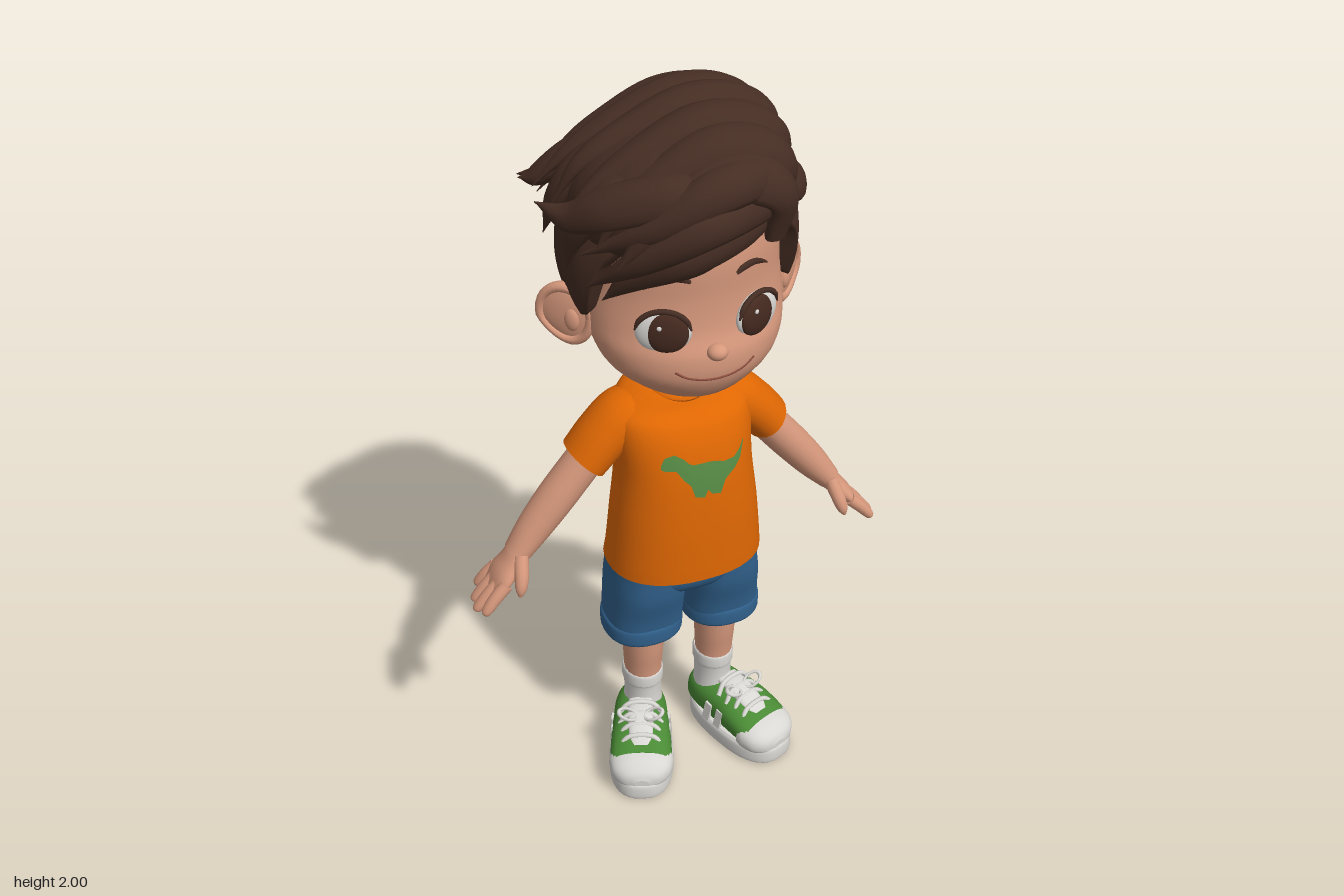
import * as THREE from 'three';

const mat = (name, color) => { const m = new THREE.MeshStandardMaterial({ color }); m.name = name; return m; };
const V = (x, y, z) => new THREE.Vector3(x, y, z);

export function createModel() {
  const skin = mat('skin', 0xd6987c), hairM = mat('hair brown', 0x452d23), orange = mat('shirt orange', 0xdf6703);
  const denim = mat('denim blue', 0x31618c), green = mat('shoe green', 0x4a8a35), white = mat('off white', 0xd9d7d3);
  const print = mat('print green', 0x568a45), iris = mat('iris brown', 0x452a20), lip = mat('lip brown', 0x8f5040);
  const model = new THREE.Group();
  model.name = 'boy';

  const add = (name, geo, material, parent = model) => {
    const mesh = new THREE.Mesh(geo, material);
    mesh.name = name;
    parent.add(mesh);
    return mesh;
  };
  const build = (pos, idx) => {
    const g = new THREE.BufferGeometry();
    g.setAttribute('position', new THREE.Float32BufferAttribute(pos, 3));
    g.setIndex(idx);
    g.computeVertexNormals();
    return g;
  };
  // Moves every vertex by a rule
  const bend = (g, rule) => {
    const p = g.attributes.position;
    for (let i = 0; i < p.count; i++) p.setXYZ(i, ...rule(p.getX(i), p.getY(i), p.getZ(i)));
    g.computeVertexNormals();
    return g;
  };

  // Smooth closed sweep through [x, y, z, halfWidth, halfDepth]; depth lies along ref, axis fixes the ring plane
  function sweep(pts, { ref = V(0, 0, 1), axis = null, sides = 20, steps = 5, exp = 2 } = {}) {
    const path = new THREE.CatmullRomCurve3(pts.map(p => V(p[0], p[1], p[2])), false, 'catmullrom');
    const size = new THREE.CatmullRomCurve3(pts.map(p => V(p[3], p[4], 0)), false, 'catmullrom');
    const n = (pts.length - 1) * steps, pos = [], idx = [];
    const pw = v => Math.sign(v) * Math.abs(v) ** (2 / exp);
    for (let i = 0; i <= n; i++) {
      const c = path.getPoint(i / n), r = size.getPoint(i / n);
      const T = axis ? axis.clone() : path.getTangent(i / n);
      const N = (typeof ref === 'function' ? ref(c) : ref.clone());
      N.addScaledVector(T, -N.dot(T)).normalize();
      const B = T.clone().cross(N);
      for (let j = 0; j < sides; j++) {
        const t = j / sides * Math.PI * 2;
        const p = c.clone().addScaledVector(B, Math.max(r.x, 0.001) * pw(Math.cos(t)))
          .addScaledVector(N, Math.max(r.y, 0.001) * pw(Math.sin(t)));
        pos.push(p.x, p.y, p.z);
        if (i < n) {
          const a = i * sides + j, b = i * sides + (j + 1) % sides;
          idx.push(a, a + sides, b, b, a + sides, b + sides);
        }
      }
    }
    for (const end of [0, n]) {
      const base = pos.length / 3, c = path.getPoint(end / n);
      pos.push(...pos.slice(end * sides * 3, (end + 1) * sides * 3), c.x, c.y, c.z);
      for (let j = 0; j < sides; j++) {
        const a = base + j, b = base + (j + 1) % sides;
        idx.push(...(end ? [base + sides, b, a] : [base + sides, a, b]));
      }
    }
    return build(pos, idx);
  }
  const UP = V(0, 1, 0);
  // Horizontal sections given as [y, halfWidth, zFront, zBack]
  const loft = (rows, opt = {}) => sweep(rows.map(([y, rx, f, b]) => [0, y, (f + b) / 2, rx, (f - b) / 2]),
    { axis: UP, sides: 40, steps: 6, ...opt });
  const flip = (s, pts) => pts.map(([x, ...rest]) => [x * s, ...rest]);
  const ball = (name, p, r, material, parent) => {
    const m = add(name, new THREE.SphereGeometry(1, 28, 20), material, parent);
    m.position.set(...p); m.scale.set(...r);
    return m;
  };
  // Depth of a surface at x, y seen from the front (dir 1) or back (dir -1)
  const surfaceZ = (meshes, x, y, dir = 1) => {
    const hit = new THREE.Raycaster(V(x, y, dir * 3), V(0, 0, -dir)).intersectObjects(meshes)[0];
    return hit ? hit.point.z : 0;
  };
  // Thin patch on a surface from columns [x, top, bottom]
  function patch(cols, meshes, dir, lift) {
    const pos = [], idx = [], R = 5;
    cols.forEach(([x, top, bottom], c) => {
      for (let r = 0; r <= R; r++) {
        const y = top + (bottom - top) * r / R;
        pos.push(x, y, surfaceZ(meshes, x, y, dir) + dir * lift);
        if (c < cols.length - 1 && r < R) {
          const a = c * (R + 1) + r, b = a + R + 1;
          idx.push(...(dir > 0 ? [a, a + 1, b, b, a + 1, b + 1] : [a, b, a + 1, b, b + 1, a + 1]));
        }
      }
    });
    return build(pos, idx);
  }

  // Head and neck
  const head = add('head', loft([[1.245, .05, .11, -.02], [1.26, .105, .162, -.06], [1.29, .16, .195, -.1],
    [1.34, .212, .22, -.13], [1.4, .24, .222, -.17], [1.46, .248, .203, -.2], [1.54, .248, .196, -.24],
    [1.64, .243, .198, -.25], [1.74, .225, .175, -.24], [1.84, .16, .11, -.18], [1.9, .04, .0, -.06]]), skin);
  add('neck', loft([[1.14, .085, .035, -.11], [1.2, .074, .035, -.1], [1.32, .075, .035, -.1]]), skin);
  ball('nose', [0, 1.415, .219], [.026, .021, .025], skin);
  const onFace = (x, y, lift, ...r) => [x, y, surfaceZ([head], x, y) + lift, ...r];
  add('mouth', sweep([[-.1, 1.372], [-.075, 1.356], [-.04, 1.346], [0, 1.343], [.04, 1.346], [.075, 1.356], [.1, 1.372]]
    .map(([x, y]) => onFace(x, y, -.001, .0035, .0035)), { sides: 8 }), lip);

  for (const s of [1, -1]) {
    // Eyes, lashes and brows
    const eye = new THREE.Group();
    eye.name = s > 0 ? 'leftEye' : 'rightEye';
    eye.position.set(s * .118, 1.472, .174);
    eye.rotation.y = s * .42;
    model.add(eye);
    ball('eyeWhite', [0, 0, 0], [.067, .058, .022], white, eye);
    ball('iris', [-s * .008, 0, .008], [.053, .053, .018], iris, eye);
    ball('glint', [-s * .008 - .016, .02, .0235], [.006, .006, .003], white, eye);
    const lash = [0, 1, 2, 3, 4, 5, 6].map(i => {
      const a = Math.PI * (.04 + .92 * i / 6), e = i % 6 ? .007 : .002;
      return [.067 * Math.cos(a), .057 * Math.sin(a), .008, e, e];
    });
    add('lashes', sweep(lash, { sides: 8 }), hairM, eye);
    add('brow', sweep(flip(s, [[.058, 1.598, .004], [.075, 1.608, .009], [.105, 1.611, .009], [.13, 1.602, .006], [.15, 1.59, .002]]
      .map(([x, y, w]) => onFace(x, y, .001, w, .005))), { sides: 10 }), hairM);

    // Ears
    const ear = new THREE.Group();
    ear.name = s > 0 ? 'leftEar' : 'rightEar';
    ear.position.set(s * .283, 1.45, -.035);
    ear.rotation.y = s * .75;
    model.add(ear);
    const taper = (x, y, z) => [x * (1 + 2.2 * Math.min(y + .02, 0)) - s * .25 * Math.max(-y - .02, 0), y, z];
    add('earDish', bend(new THREE.SphereGeometry(1, 28, 20).scale(.078, .08, .022), taper), skin, ear);
    add('earRim', bend(new THREE.TorusGeometry(.066, .012, 10, 32).scale(1, 1.06, 1.1).translate(0, 0, .01), taper), skin, ear);
    ball('earFold', [-s * .02, -.01, .016], [.02, .032, .012], skin, ear);
  }

  // Hair cap: ellipsoid cut along a hairline, given as [degrees from front, y]
  const line = [[0, 1.74], [40, 1.7], [58, 1.62], [70, 1.48], [78, 1.47], [86, 1.53], [100, 1.53], [108, 1.44], [125, 1.35], [145, 1.3], [180, 1.29]];
  const hairline = deg => {
    const k = Math.max(1, line.findIndex(p => p[0] >= deg)), [a, ya] = line[k - 1], [b, yb] = line[k];
    return ya + (yb - ya) * (deg - a) / (b - a);
  };
  const pos = [], idx = [], NA = 120, NV = 30;
  for (let v = 0; v <= NV + 1; v++) for (let i = 0; i < NA; i++) {
    const a = i / NA * Math.PI * 2, deg = Math.min(360 - i / NA * 360, i / NA * 360);
    const th = Math.acos((hairline(deg) - 1.6) / .34) * Math.min(v / NV, 1);
    const k = (v > NV ? .8 : 1) * (1 + .006 * Math.sin(th) * Math.sin(13 * a + 4 * th));
    pos.push(.295 * k * Math.sin(th) * Math.sin(a), 1.6 + .34 * k * Math.cos(th),
      -.02 + (Math.cos(a) > 0 ? .23 : .308) * k * Math.sin(th) * Math.cos(a));
    if (v <= NV) {
      const p = v * NA + i, q = v * NA + (i + 1) % NA;
      idx.push(p, p + NA, q, q, p + NA, q + NA);
    }
  }
  add('hairCap', build(pos, idx), hairM);
  ball('hairVolume', [-.05, 1.79, .03], [.24, .158, .262], hairM).rotation.z = .25;

  // Tapered locks swept from the parting to the right side
  const radial = p => p.clone().sub(V(0, 1.62, 0));
  const lock = (name, pts, w, h) => {
    const taper = t => t < .3 ? .55 + 1.5 * t : Math.max(0, 1 - ((t - .3) / .7) ** 2.2);
    add(name, sweep(pts.map((p, i) => { const k = taper(i / (pts.length - 1)); return [...p, w * k, h * k]; }),
      { ref: radial, sides: 14, steps: 7, exp: 1.7 }), hairM);
  };
  [[.25, 1.87], [.19, 1.915], [.11, 1.943], [.02, 1.957], [-.07, 1.947], [-.14, 1.92], [-.2, 1.865]].forEach(([z, top], i) => {
    const s = Math.sqrt(1 - (z / .36) ** 2), odd = i % 2 * .02;
    lock('topLock', [[.19 * s, top - .17, z * .9], [.195 * s, top - .07, z], [.12 * s, top - .015, z], [0, top, z],
      [-.13 * s, top - .04, z], [-.25 * s, top - .105, z - .01], [(-.34 + odd) * s, top - .19 - odd, z - .03]], .064, .042);
  });
  [[[.17, 1.8, .16], [.1, 1.86, .235], [-.03, 1.86, .28], [-.17, 1.78, .245], [-.3, 1.68, .12]],
    [[.17, 1.76, .16], [.08, 1.8, .24], [-.06, 1.79, .292], [-.19, 1.7, .23], [-.285, 1.59, .11]],
    [[.16, 1.74, .16], [.04, 1.745, .24], [-.09, 1.705, .25], [-.19, 1.64, .19], [-.25, 1.56, .13]],
    [[.06, 1.73, .2], [0, 1.715, .235], [-.06, 1.68, .235], [-.12, 1.645, .215], [-.17, 1.6, .185]]]
    .forEach((p, i) => lock('fringeLock', p, i > 2 ? .04 : .055, i > 2 ? .028 : .042));
  [[[0, 1.84, .25], [-.12, 1.85, .24], [-.24, 1.81, .17], [-.31, 1.765, .09], [-.365, 1.78, .02]],
    [[-.1, 1.87, .17], [-.22, 1.82, .13], [-.285, 1.72, .07], [-.3, 1.6, .03]],
    [[-.08, 1.9, .03], [-.22, 1.84, -.02], [-.29, 1.75, -.05], [-.315, 1.64, -.09]],
    [[-.08, 1.9, -.1], [-.22, 1.82, -.12], [-.3, 1.76, -.15], [-.345, 1.75, -.17]],
    [[-.05, 1.87, -.18], [-.17, 1.79, -.21], [-.26, 1.73, -.22], [-.325, 1.72, -.25]],
    [[.1, 1.84, -.21], [0, 1.79, -.26], [-.1, 1.71, -.285], [-.19, 1.62, -.26]],
    [[.17, 1.74, .12], [.24, 1.75, .085], [.275, 1.72, 0], [.272, 1.62, -.09], [.235, 1.5, -.16]]]
    .forEach((p, i) => lock('sideLock', p, .055, i > 5 ? .03 : .035));

  // Shirt, with the neckline dipping at the front
  const dip = (x, y, z) => [x, y - (z + .06) * .3 * THREE.MathUtils.smoothstep(y, 1.12, 1.21), z];
  const shirt = add('shirt', bend(loft([[.68, .212, .16, -.168], [.73, .207, .16, -.155], [.85, .195, .157, -.145], [.98, .18, .146, -.14],
    [1.08, .183, .122, -.14], [1.14, .18, .09, -.14], [1.18, .153, .065, -.135], [1.205, .115, .05, -.125], [1.214, .088, .04, -.115]],
  { exp: 2.3 }), dip), orange);
  add('collar', bend(new THREE.TorusGeometry(.08, .009, 10, 40).rotateX(Math.PI / 2).translate(0, 1.212, -.037), dip), orange);
  add('dinosaurPrint', patch([[-.105, 1.045, 1.035], [-.095, 1.065, 1.03], [-.07, 1.072, 1.03], [-.05, 1.06, 1], [-.035, 1.045, .985],
    [-.025, 1.04, .95], [0, 1.04, .945], [.01, 1.04, .965], [.02, 1.04, .95], [.045, 1.035, .945], [.06, 1.03, .98],
    [.09, 1.03, 1], [.11, 1.045, 1.02], [.125, 1.065, 1.06]], [shirt], 1, .004), print);

  // Shorts
  const shorts = [add('shortsSeat', loft([[.585, .12, .07, -.09], [.61, .17, .105, -.125], [.65, .2, .125, -.145], [.72, .2, .13, -.14]], { exp: 2.4 }), denim)];

  for (const s of [1, -1]) {
    const side = s > 0 ? 'left' : 'right';
    // Arm and sleeve
    add(side + 'Sleeve', sweep(flip(s, [[.08, 1.12, -.045, .06, .08], [.14, 1.11, -.042, .076, .084], [.2, 1.07, -.04, .068, .08], [.255, 1.01, -.04, .062, .078]])), orange);
    add(side + 'Arm', sweep(flip(s, [[.2, 1.06, -.045, .05, .055], [.26, .99, -.045, .05, .053], [.33, .905, -.046, .05, .053],
      [.395, .825, -.045, .045, .048], [.45, .757, -.04, .033, .042]])), skin);
    add(side + 'Palm', sweep(flip(s, [[.435, .774, -.04, .032, .04], [.465, .738, -.037, .027, .048], [.495, .705, -.035, .023, .06],
      [.522, .674, -.035, .012, .054]])), skin);
    [[-.08, .55, .637, -.096], [-.05, .57, .621, -.056], [-.018, .575, .619, -.018], [.012, .562, .63, .02]].forEach(([z, x, y, tz]) =>
      add(side + 'Finger', sweep(flip(s, [[.495, .702, z, .018, .018], [(.495 + x) / 2, (.702 + y) / 2 + .004, (z + tz) / 2, .017, .018],
        [x - .006, y + .008, tz, .013, .015], [x, y, tz, .004, .004]]), { sides: 12 }), skin));
    add(side + 'Thumb', sweep(flip(s, [[.445, .765, -.012, .02, .022], [.455, .725, .02, .019, .019], [.463, .695, .034, .015, .015],
      [.468, .675, .04, .004, .004]]), { sides: 12 }), skin);

    // Shorts leg with turned-up cuff, lower leg and sock
    shorts.push(add(side + 'ShortsLeg', sweep(flip(s, [[.113, .45, -.02, .106, .102], [.11, .52, -.018, .106, .112], [.106, .6, -.012, .104, .127],
      [.1, .68, -.008, .098, .13]]), { axis: UP, exp: 2.5, sides: 32 }), denim));
    add(side + 'Cuff', sweep(flip(s, [[.114, .43, -.02, .105, .106], [.114, .44, -.02, .11, .11], [.114, .475, -.02, .11, .11], [.114, .487, -.02, .103, .102]]),
      { axis: UP, exp: 2.3, sides: 32 }), denim);
    add(side + 'Leg', sweep(flip(s, [[.108, .2, -.03, .05, .055], [.108, .28, -.028, .053, .058], [.108, .36, -.024, .057, .064], [.108, .5, -.02, .062, .068]]), { axis: UP }), skin);
    add(side + 'Sock', sweep(flip(s, [[.108, .1, -.035, .058, .064], [.108, .17, -.034, .052, .059], [.108, .215, -.033, .053, .06],
      [.108, .225, -.033, .057, .064], [.108, .255, -.033, .057, .064], [.108, .264, -.033, .053, .059]]), { axis: UP }), white);

    // Shoe, turned outwards
    const shoe = new THREE.Group();
    shoe.name = side + 'Shoe';
    shoe.position.set(s * .151, 0, .062);
    shoe.rotation.y = s * .36;
    model.add(shoe);
    const along = { ref: UP, axis: V(0, 0, 1), exp: 2.4, sides: 28 };
    add('sole', bend(sweep([[0, 0, 0, .09, .165], [0, .01, 0, .097, .174], [0, .045, 0, .097, .174], [0, .058, 0, .09, .167]],
      { axis: UP, exp: 2.5, sides: 40 }), (x, y, z) => [x * (.92 + .5 * z), y, z]), white, shoe);
    add('upper', sweep([[0, .09, -.166, .03, .04], [0, .093, -.155, .056, .056], [0, .096, -.11, .072, .062], [0, .096, -.04, .079, .064],
      [0, .095, .02, .084, .06], [0, .085, .08, .086, .05], [0, .08, .11, .083, .042]], along), green, shoe);
    add('toeCap', sweep([[0, .073, .08, .088, .053], [0, .073, .1, .09, .051], [0, .068, .135, .08, .044], [0, .063, .16, .053, .029],
      [0, .06, .17, .02, .012]], along), white, shoe);
    add('tongue', sweep([[0, .168, -.05, .034, .012], [0, .16, 0, .036, .014], [0, .14, .05, .034, .014], [0, .12, .09, .03, .012]], along), white, shoe);
    for (let i = 0; i < 4; i++) {
      const z = -.03 + i * .032, y = .178 - i * .0115;
      add('lace', sweep([[-.06, y - .03, z + .008, .007, .007], [-.03, y - .002, z, .007, .007], [.03, y - .002, z, .007, .007],
        [.06, y - .03, z + .008, .007, .007]], { ref: UP, sides: 8 }), white, shoe);
    }
    for (const t of [1, -1]) {
      const loop = add('laceLoop', new THREE.TorusGeometry(.028, .006, 8, 20), white, shoe);
      loop.position.set(t * .036, .176, .015);
      loop.rotation.set(Math.PI / 2 + .25, t * .45, 0);
      loop.scale.y = .65;
      for (const z of [-.045, .0]) {
        const stripe = add('sideStripe', new THREE.BoxGeometry(.009, .062, .024), white, shoe);
        stripe.position.set(t * .081, .086, z);
        stripe.rotation.set(.15, 0, t * .08);
      }
    }
  }

  // Back pockets
  for (const s of [1, -1]) {
    const cols = [[.05, .64, .57], [.075, .64, .555], [.1, .64, .545], [.125, .64, .555], [.15, .64, .57]].map(([x, t, b]) => [x * s, t, b]);
    if (s < 0) cols.reverse();
    add('backPocket', patch(cols, shorts, -1, .006), denim);
  }
  return model;
}
